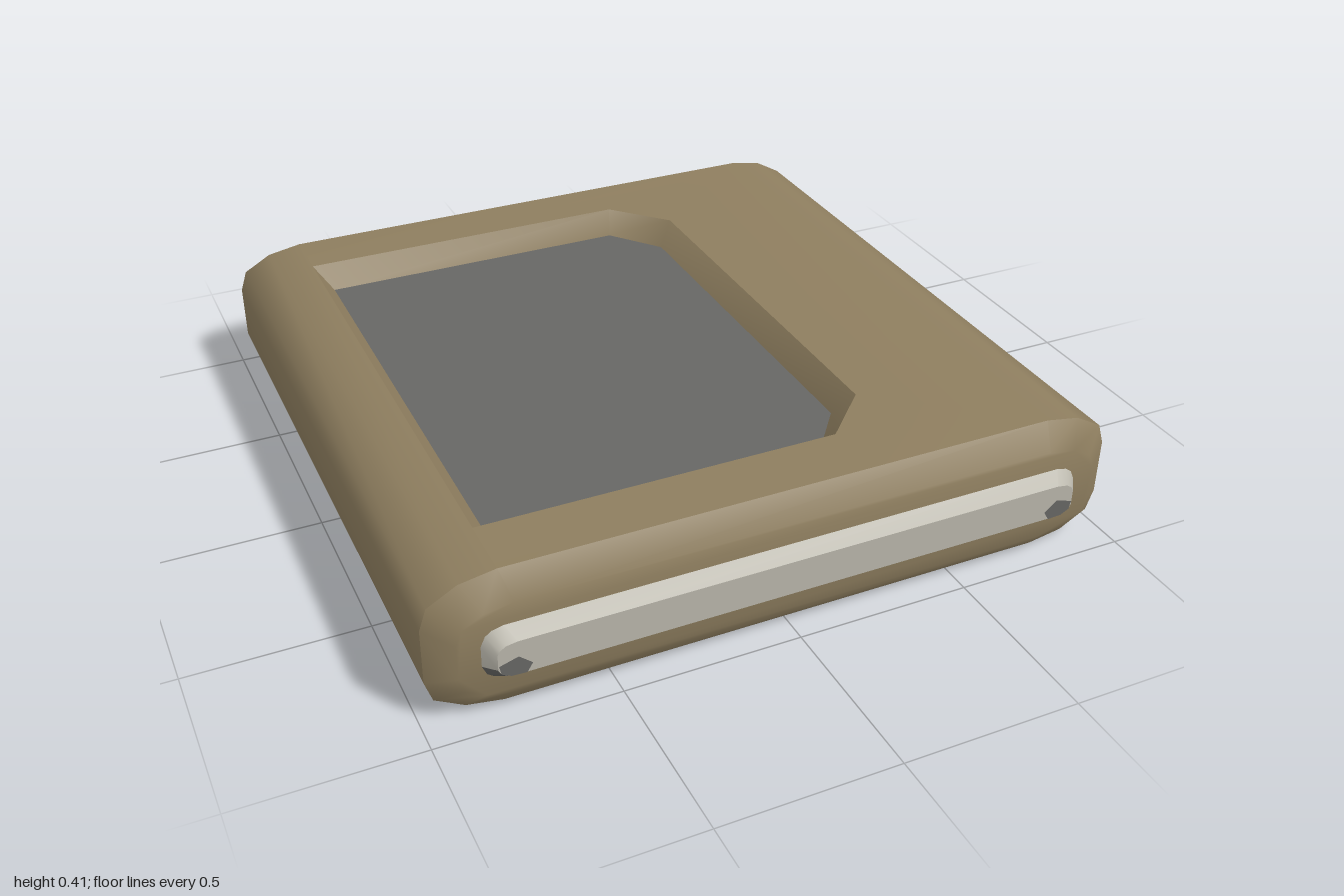
import * as THREE from 'three';
import { mergeGeometries, toCreasedNormals } from 'three/addons/utils/BufferGeometryUtils.js';

const MID = 0.2025; // mid height of the case

// Mirror one quadrant into a closed counter-clockwise loop
function loop(quad) {
  const r = [...quad].reverse();
  return [
    ...quad,
    ...r.map(([x, y]) => [-x, y]),
    ...quad.map(([x, y]) => [-x, -y]),
    ...r.map(([x, y]) => [x, -y]),
  ].map(([x, y]) => [x, y + MID]);
}
const at = (pts, z) => pts.map(([x, y]) => [x, y, z]);

// Quads between two loops, optionally only the segments that pass keep()
function loft(a, b, keep = () => true) {
  const p = [];
  for (let i = 0; i < a.length; i++) {
    const j = (i + 1) % a.length;
    if (keep(a[i], a[j])) p.push(...a[i], ...a[j], ...b[j], ...a[i], ...b[j], ...b[i]);
  }
  const g = new THREE.BufferGeometry();
  g.setAttribute('position', new THREE.Float32BufferAttribute(p, 3));
  return g;
}
function flat(pts, hole) {
  const s = new THREE.Shape(pts.map(([x, y]) => new THREE.Vector2(x, y)));
  if (hole) s.holes.push(new THREE.Path(hole.map(([x, y]) => new THREE.Vector2(x, y))));
  const g = new THREE.ShapeGeometry(s).toNonIndexed();
  g.deleteAttribute('uv');
  g.deleteAttribute('normal');
  return g;
}
const join = (list) => toCreasedNormals(mergeGeometries(list), 0.8);

export function createModel() {
  const root = new THREE.Group();
  const mat = (name, color) => Object.assign(new THREE.MeshStandardMaterial({ color }), { name });
  const shell = mat('khaki shell', 0x8e7e5f);
  const dark = mat('dark grey', 0x666664);
  const light = mat('pale grey', 0xb8b5aa);
  const add = (parent, name, geo, m) => {
    const mesh = new THREE.Mesh(geo, m);
    mesh.name = name;
    parent.add(mesh);
    return mesh;
  };

  // Case cross-sections
  const outer = loop([[0.98, 0.08], [0.96, 0.14], [0.88, 0.185], [0.78, 0.2025]]);
  const inner = loop([[0.91, 0.05], [0.895, 0.093], [0.84, 0.123], [0.76, 0.137]]);
  const back = -0.997, backEdge = -0.95, frontEdge = 0.905, front = 0.96;

  // Recess outline and floor, as [x, -z], counter-clockwise from above
  const rim = [[-0.78, -0.73], [0.23, -0.73], [0.38, -0.58], [0.38, 0.62], [0.23, 0.78], [-0.78, 0.78]];
  const floor = [[-0.73, -0.69], [0.21, -0.69], [0.33, -0.54], [0.33, 0.58], [0.21, 0.73], [-0.73, 0.73]];
  const TOP = 2 * MID, DEEP = 0.335;
  const lay = (pts, y) => pts.map(([x, v]) => [x, y, -v]);

  // Case: sides, chamfered ends and the top with its opening
  const topFace = flat(
    [[-0.78, -frontEdge], [0.78, -frontEdge], [0.78, -backEdge], [-0.78, -backEdge]], rim,
  ).rotateX(-Math.PI / 2).translate(0, TOP, 0);
  add(root, 'case', join([
    loft(at(outer, backEdge), at(outer, frontEdge), (p, q) => p[1] < TOP - 0.001 || q[1] < TOP - 0.001),
    loft(at(inner, back), at(outer, backEdge)),
    loft(at(outer, frontEdge), at(inner, front)),
    flat(inner).translate(0, 0, front),
    flat(inner).rotateY(Math.PI).translate(0, 0, back),
    topFace,
  ]), shell);

  // Recess walls and sunken panel
  add(root, 'recessWalls', join([loft(lay(rim, TOP), lay(floor, DEEP))]), shell);
  add(root, 'panel', join([flat(floor).rotateX(-Math.PI / 2).translate(0, DEEP, 0)]), dark);

  // End strips: pale bevelled bar with a dark lower edge and dark lower corners
  const base = loop([[0.85, 0.03], [0.838, 0.057], [0.82, 0.07], [0.79, 0.077]]);
  const tip = loop([[0.822, 0.022], [0.815, 0.035], [0.8, 0.045], [0.77, 0.05]]);
  function strip(name, z, depth) {
    const g = new THREE.Group();
    g.name = name;
    const a = at(base, z), b = at(tip, z + depth);
    const lower = (p, q) => p[1] + q[1] < 2 * MID - 0.01;
    add(g, 'bar', join([
      loft(a, b, (p, q) => !lower(p, q)),
      flat(tip).translate(0, 0, z + depth),
    ]), light);
    add(g, 'lowerEdge', join([loft(a, b, lower)]), dark);
    const wedge = [[0.75, -0.05], [0.79, -0.048], [0.815, -0.035], [0.82, -0.01], [0.77, 0.005], [0.735, -0.025]];
    for (const s of [1, -1]) {
      const pts = wedge.map(([x, y]) => [s * x, y + MID]);
      add(g, 'cornerPatch', join([flat(pts).translate(0, 0, z + depth + 0.0015)]), dark);
    }
    root.add(g);
    return g;
  }
  strip('frontStrip', front, 0.0385);
  strip('backStrip', -back, 0.003).rotation.y = Math.PI;

  return root;
}
